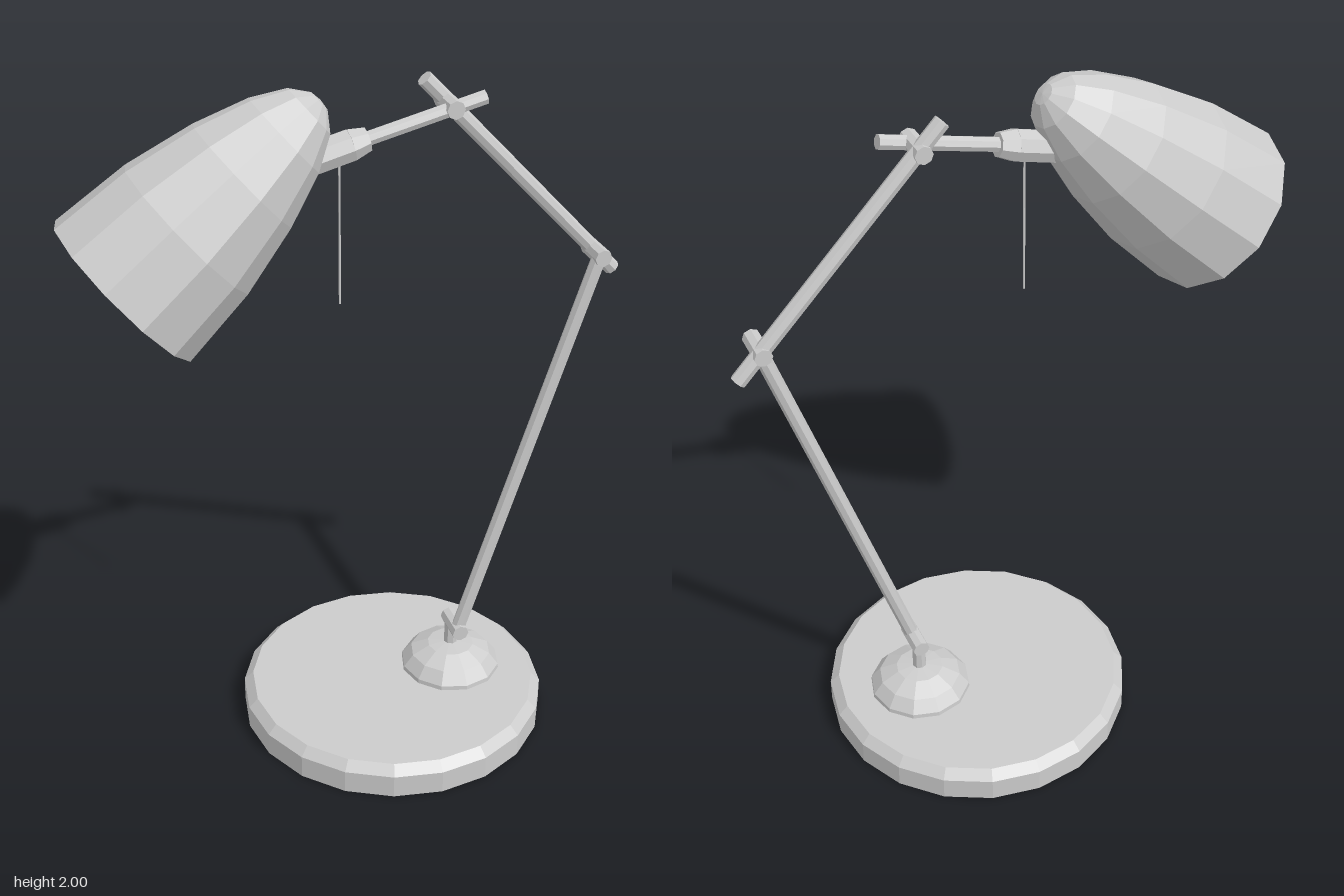
import * as THREE from 'three';

const metal = new THREE.MeshStandardMaterial({ color: 0xcccccc, flatShading: true });
const shell = new THREE.MeshStandardMaterial({ color: 0xcccccc, flatShading: true, side: THREE.DoubleSide });
const UP = new THREE.Vector3(0, 1, 0);
const ARM_Z = 0.053; // plane of the lower arm, head arm and shade

export function createModel() {
  const lamp = new THREE.Group();
  lamp.name = 'deskLamp';

  const add = (name, geometry, material = metal) => {
    const mesh = new THREE.Mesh(geometry, material);
    mesh.name = name;
    lamp.add(mesh);
    return mesh;
  };

  // Straight rod between two points, optionally tapered
  const rod = (name, from, to, r0, r1 = r0, sides = 8) => {
    const a = new THREE.Vector3(...from);
    const b = new THREE.Vector3(...to);
    const mesh = add(name, new THREE.CylinderGeometry(r1, r0, a.distanceTo(b), sides));
    mesh.position.copy(a).lerp(b, 0.5);
    mesh.quaternion.setFromUnitVectors(UP, b.sub(a).normalize());
    return mesh;
  };

  // Turned part from [radius, height] pairs
  const turned = (name, profile, sides, material) =>
    add(name, new THREE.LatheGeometry(profile.map(([r, y]) => new THREE.Vector2(r, y)), sides), material);

  // Round base with a bevelled top edge
  turned('base', [[0, 0], [0.455, 0], [0.455, 0.07], [0.428, 0.097], [0, 0.097]], 20).position.x = 0.13;

  // Dome and short post carrying the arm
  turned('dome', [[0.152, 0.09], [0.15, 0.11], [0.122, 0.146], [0.07, 0.172], [0, 0.181]], 12).position.x = 0.32;
  rod('post', [0.32, 0.17, 0], [0.32, 0.26, 0], 0.021);

  // Cross pins joining the two arm planes
  const pins = [
    ['basePin', 0.32, 0.258, -0.024, 0.082],
    ['elbowPin', 0.703, 1.44, -0.024, 0.08],
    ['headPin', 0.255, 1.91, -0.028, 0.08],
  ];
  for (const [name, x, y, z0, z1] of pins) rod(name, [x, y, z0], [x, y, z1], 0.025);

  // Arms
  rod('lowerArm', [0.32, 0.258, ARM_Z], [0.703, 1.44, ARM_Z], 0.021);
  rod('upperArm', [0.77, 1.372, 0], [0.195, 1.977, 0], 0.022);
  rod('headArm', [0.345, 1.929, ARM_Z], [-0.02, 1.84, ARM_Z], 0.02);

  // Socket with a tapered collar
  rod('socket', [-0.14, 1.808, ARM_Z], [-0.02, 1.839, ARM_Z], 0.044);
  rod('socketCollar', [-0.02, 1.839, ARM_Z], [0.025, 1.85, ARM_Z], 0.044, 0.033);

  // Pull cord
  rod('pullCord', [-0.05, 1.4, ARM_Z], [-0.05, 1.82, ARM_Z], 0.003, 0.003, 6);

  // Hollow bell shade: inner wall down to the rim, then outer wall up to the crown
  const outer = [[0.246, 0], [0.224, 0.225], [0.179, 0.42], [0.128, 0.565], [0.078, 0.652], [0.03, 0.688], [0, 0.692]];
  const inner = outer.map(([r, y]) => [Math.max(r - 0.012, 0), y * 0.98]).reverse();
  const shade = turned('shade', [...inner, ...outer], 12, shell);
  shade.position.set(-0.625, 1.517, ARM_Z);
  shade.quaternion.setFromUnitVectors(UP, new THREE.Vector3(0.761, 0.649, 0).normalize());

  return lamp;
}
